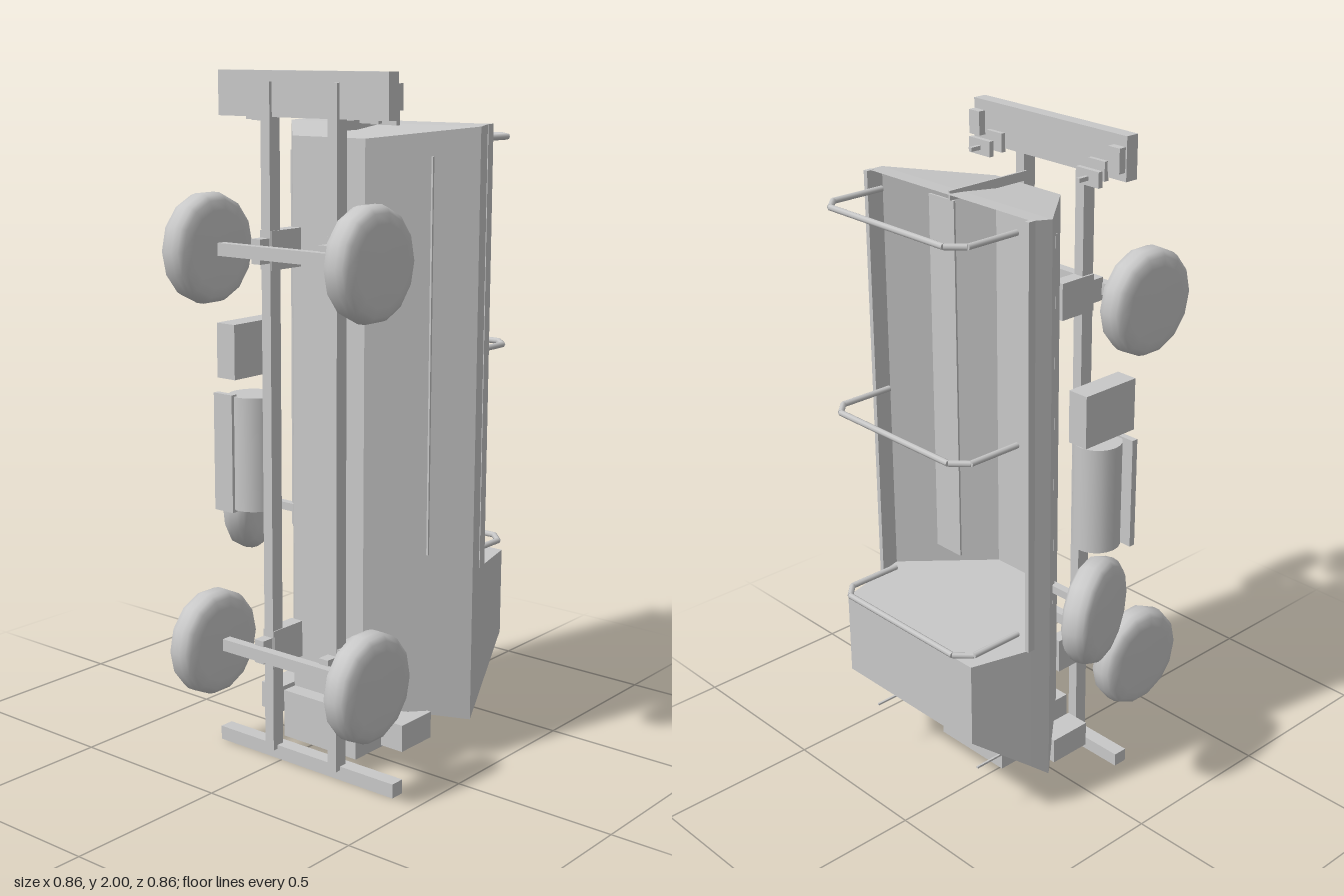
import * as THREE from 'three';

const grey = new THREE.MeshStandardMaterial({ color: 0xc8c8c8, side: THREE.DoubleSide });
grey.name = 'light grey';
const CX = 0.0875; // centre line of the hull

export function createModel() {
  const root = new THREE.Group();
  root.name = 'amphibiousTruck';

  const add = (name, geometry, parent = root) => {
    const mesh = new THREE.Mesh(geometry, grey);
    mesh.name = name;
    parent.add(mesh);
    return mesh;
  };
  const box = (name, x0, x1, y0, y1, z0, z1) => {
    const m = add(name, new THREE.BoxGeometry(x1 - x0, y1 - y0, z1 - z0));
    m.position.set((x0 + x1) / 2, (y0 + y1) / 2, (z0 + z1) / 2);
    return m;
  };
  // Flat-faced sheet between rows of points
  const sheet = (name, rows) => {
    const p = [];
    for (let i = 0; i + 1 < rows.length; i++) {
      for (let j = 0; j + 1 < rows[i].length; j++) {
        const a = rows[i][j], b = rows[i][j + 1], c = rows[i + 1][j + 1], d = rows[i + 1][j];
        p.push(...a, ...b, ...c, ...a, ...c, ...d);
      }
    }
    const g = new THREE.BufferGeometry();
    g.setAttribute('position', new THREE.Float32BufferAttribute(p, 3));
    g.computeVertexNormals();
    return add(name, g);
  };
  const rod = (name, a, b, r, parent = root) => {
    const dir = b.clone().sub(a);
    const m = add(name, new THREE.CylinderGeometry(r, r, dir.length(), 8), parent);
    m.position.copy(a).add(b).multiplyScalar(0.5);
    m.quaternion.setFromUnitVectors(new THREE.Vector3(0, 1, 0), dir.normalize());
  };

  // Hull corners: half width, z, y at the bow, y at the stern
  const keel = [0.13, 0.09, 0.19, 1.82];
  const chine = [0.3425, -0.15, 0.13, 1.85];
  const rim = [0.327, -0.21, 0.178, 1.855];
  const roof = [0.277, -0.395, 0.322, 0.58];
  const at = (c, side, y) => [CX + side * c[0], y, c[1]];
  const bow = (list, side) => list.map((c) => at(c, side, c[2]));
  const stern = (list, side) => list.map((c) => at(c, side, c[3]));
  const level = (list, side, y) => list.map((c) => at(c, side, y));
  const open = [rim, chine, keel], full = [roof, rim, chine, keel];

  sheet('hullSides', [
    [...bow(open, -1), ...bow(open, 1).reverse()],
    [...stern(open, -1), ...stern(open, 1).reverse()],
  ]);
  sheet('bowPlate', [bow(full, 1), bow(full, -1)]);
  sheet('sternPlate', [stern(open, -1), stern(open, 1)]);
  sheet('bulkhead', [level(full, -1, 0.58), level(full, 1, 0.58)]);
  const cabin = [rim, roof];
  sheet('foredeck', [
    [...bow(cabin, 1), ...bow(cabin, -1).reverse()],
    [...level(cabin, 1, 0.58), ...level(cabin, -1, 0.58).reverse()],
  ]);
  box('sternStrip', CX - 0.003, CX + 0.003, 1.835, 1.862, -0.2, 0.085);

  // Gunwales, benches and bow pegs, mirrored about the hull centre
  for (const s of [-1, 1]) {
    const pair = (name, u0, u1, ...rest) => {
      const a = CX + s * u0, b = CX + s * u1;
      box(name, Math.min(a, b), Math.max(a, b), ...rest);
    };
    pair('gunwale', 0.317, 0.332, 0.58, 1.855, -0.224, -0.2);
    pair('bench', 0.15, 0.257, 0.64, 1.77, -0.053, -0.047);
    pair('bowPeg', 0.227, 0.233, 0.182, 0.188, -0.335, -0.21);
    pair('lampBox', 0.193, 0.27, 0.085, 0.165, -0.055, 0.083);
    // Chassis rails
    pair('chassisRail', 0.103, 0.136, 0.03, 1.97, 0.175, 0.217);
    for (const y of [0.345, 1.51]) {
      pair('axleMount', 0.1, 0.142, y - 0.055, y + 0.055, 0.09, 0.215);
      pair('axleClamp', 0.105, 0.138, y - 0.035, y + 0.035, 0.215, 0.257);
    }
    // Tow fittings behind the rear beam
    pair('towPlate', 0.172, 0.258, 1.86, 1.905, 0.105, 0.12);
    pair('towPin', 0.209, 0.221, 1.875, 1.887, 0.07, 0.17);
    pair('towBase', 0.172, 0.235, 1.865, 1.92, 0.152, 0.167);
    pair('beamBracket', 0.255, 0.298, 1.9, 1.97, 0.142, 0.167);
  }

  // Intake box with a recessed grille on its underside
  box('intakeBox', -0.05, 0.225, 0.055, 0.185, -0.15, 0.13);
  const frame = new THREE.Shape([[-0.1375, -0.14], [0.1375, -0.14], [0.1375, 0.14], [-0.1375, 0.14]]
    .map(([x, y]) => new THREE.Vector2(x, y)));
  frame.holes.push(new THREE.Path([[-0.115, -0.115], [-0.115, 0.115], [0.115, 0.115], [0.115, -0.115]]
    .map(([x, y]) => new THREE.Vector2(x, y))));
  const lip = add('intakeFrame', new THREE.ExtrudeGeometry(frame, { depth: 0.015, bevelEnabled: false }));
  lip.rotation.x = Math.PI / 2;
  lip.position.set(CX, 0.055, -0.01);

  // End beams
  box('rearBeam', -0.215, 0.388, 1.875, 2, 0.165, 0.207);
  box('frontBumper', -0.243, 0.414, 0, 0.042, 0.155, 0.2);

  // Wheels and axles
  const tyre = new THREE.LatheGeometry([
    [0, -0.048], [0.11, -0.047], [0.138, -0.041], [0.152, -0.03], [0.158, -0.012],
    [0.158, 0.012], [0.152, 0.03], [0.138, 0.041], [0.11, 0.047], [0, 0.048],
  ].map(([r, h]) => new THREE.Vector2(r, h)), 14);
  tyre.rotateZ(Math.PI / 2);
  for (const y of [0.345, 1.51]) {
    box('axle', -0.17, 0.345, y - 0.018, y + 0.018, 0.252, 0.282);
    for (const x of [-0.203, 0.378]) add('wheel', tyre).position.set(x, y, 0.27);
  }
  const spare = add('spareWheel', tyre);
  spare.position.set(-0.34, 0.695, -0.055);
  spare.rotation.y = 0.355;
  box('spareWheelArm', -0.31, -0.125, 0.683, 0.707, -0.06, -0.036);

  // Tool box, tank with straps, and tank guard
  box('toolBox', -0.215, -0.147, 1.13, 1.29, 0.028, 0.226);
  add('tank', new THREE.CylinderGeometry(0.073, 0.073, 0.335, 20)).position.set(-0.128, 0.917, 0.167);
  for (const y of [0.785, 1.025]) box('tankStrap', -0.13, -0.045, y - 0.008, y + 0.008, 0.175, 0.19);
  box('tankGuard', -0.21, -0.14, 0.742, 1.09, 0.228, 0.248);

  // Canopy hoops
  const path = [[-0.185, -0.21], [-0.185, -0.38], [-0.142, -0.422], [0.318, -0.422], [0.36, -0.38], [0.36, -0.21]];
  for (const y of [0.612, 1.21, 1.812]) {
    const hoop = new THREE.Group();
    hoop.name = 'canopyHoop';
    const pts = path.map(([x, z]) => new THREE.Vector3(x, y, z));
    for (let i = 0; i + 1 < pts.length; i++) rod('hoopTube', pts[i], pts[i + 1], 0.009, hoop);
    root.add(hoop);
  }
  return root;
}
